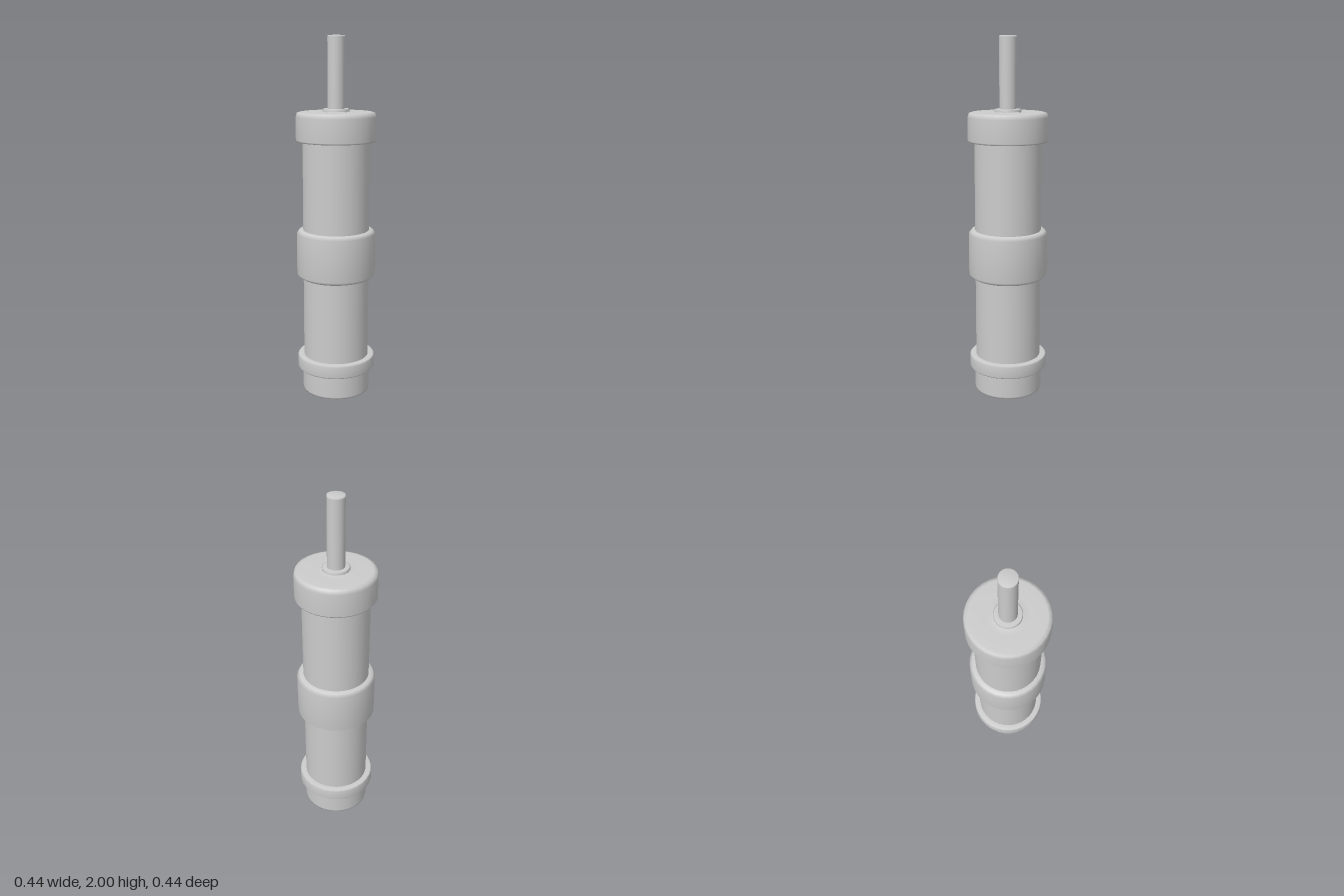
import * as THREE from 'three';

const SIDES = 32;

export function createModel() {
  const group = new THREE.Group();
  const material = new THREE.MeshStandardMaterial({ color: 0xcccccc });

  // Turned part: profile of [radius, height] pairs from bottom to top
  const turned = (name, profile) => {
    const points = profile.map(([r, y]) => new THREE.Vector2(r, y));
    const geometry = new THREE.LatheGeometry(points, SIDES, Math.PI / 2);
    const mesh = new THREE.Mesh(geometry, material);
    mesh.name = name;
    group.add(mesh);
  };

  // Base plug with a softly rounded bottom rim
  turned('basePlug', [[0, 0], [0.165, 0], [0.188, 0.005], [0.19, 0.015], [0.19, 0.145]]);

  // Narrow ring above the base
  turned('baseRing', [[0.188, 0.138], [0.213, 0.138], [0.22, 0.146], [0.22, 0.206], [0.213, 0.214], [0.18, 0.214]]);

  // Lower and upper tubes
  turned('lowerTube', [[0.184, 0.2], [0.184, 0.69]]);
  turned('upperTube', [[0.184, 0.93], [0.184, 1.45]]);

  // Wide middle sleeve with chamfered ends
  turned('middleSleeve', [[0.182, 0.67], [0.196, 0.673], [0.22, 0.694], [0.22, 0.926], [0.205, 0.943], [0.18, 0.946]]);

  // Top cap with a rounded shoulder
  turned('topCap', [[0.182, 1.437], [0.214, 1.437], [0.22, 1.446], [0.22, 1.57], [0.213, 1.592], [0.195, 1.597], [0.11, 1.597], [0.073, 1.597], [0.073, 1.603]]);

  // Collar around the rod
  turned('rodCollar', [[0.073, 1.595], [0.073, 1.611], [0.068, 1.614], [0.045, 1.614]]);

  // Plunger rod
  turned('rod', [[0.047, 1.61], [0.047, 1.99], [0.046, 2], [0, 2]]);

  return group;
}
